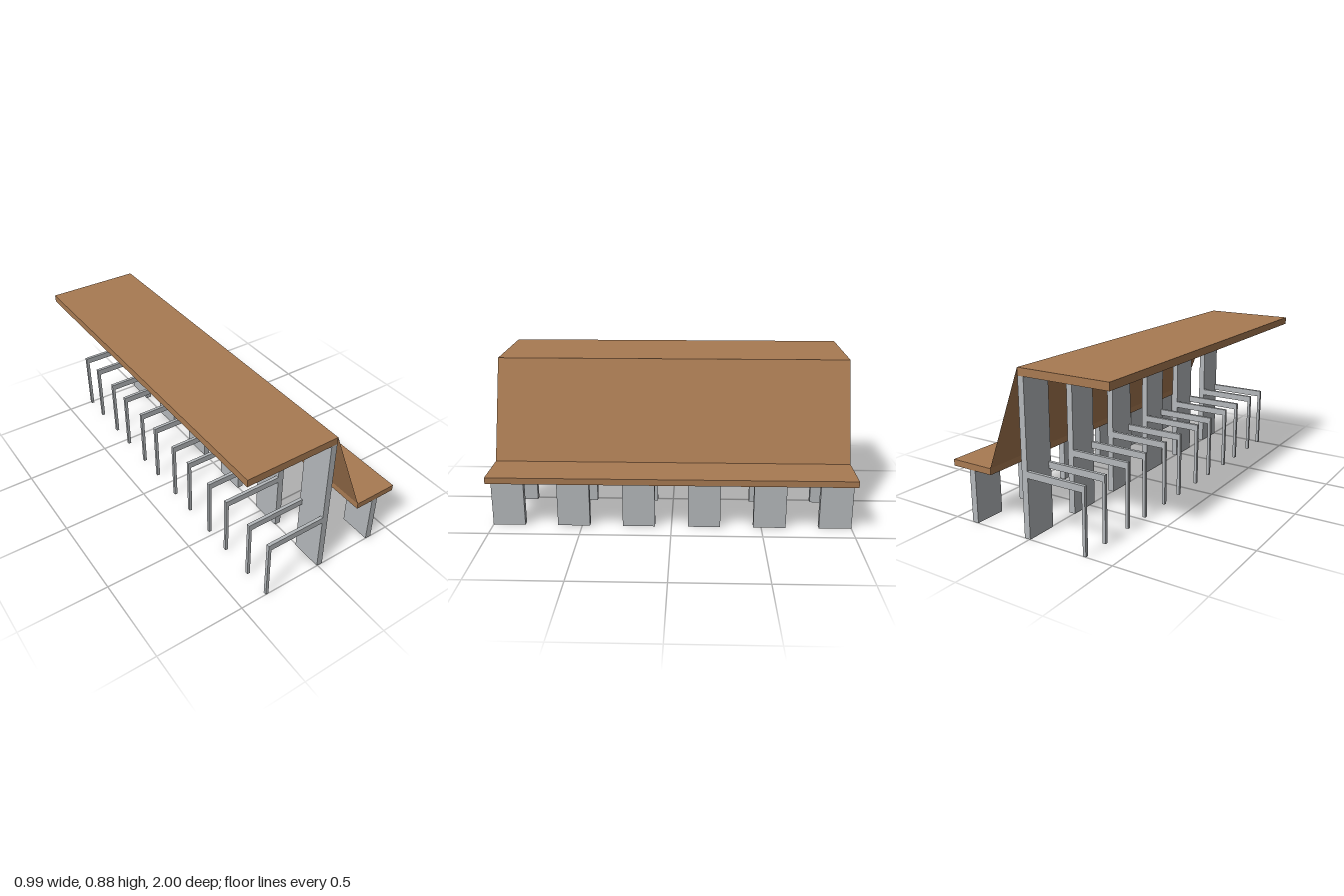
import * as THREE from 'three';

export function createModel() {
  const model = new THREE.Group();
  model.name = 'tableWithBench';
  const wood = new THREE.MeshStandardMaterial({ name: 'brown wood', color: 0xa87a52 });
  const sheet = new THREE.MeshStandardMaterial({ name: 'brown sheet', color: 0xa87a52, side: THREE.DoubleSide });
  const metal = new THREE.MeshStandardMaterial({ name: 'grey metal', color: 0xb4b8bb });

  // Box given by its limits on each axis
  function box(name, material, [x0, x1], [y0, y1], [z0, z1]) {
    const mesh = new THREE.Mesh(new THREE.BoxGeometry(x1 - x0, y1 - y0, z1 - z0), material);
    mesh.position.set((x0 + x1) / 2, (y0 + y1) / 2, (z0 + z1) / 2);
    mesh.name = name;
    model.add(mesh);
  }

  // Table top and bench seat run the full length
  box('tableTop', wood, [-0.495, 0.03], [0.835, 0.876], [-1, 1]);
  box('benchSeat', wood, [0.24, 0.495], [0.291, 0.326], [-1, 1]);

  // Sloping back sheet from the table edge down to the bench
  const top = new THREE.Vector2(0.03, 0.876), bottom = new THREE.Vector2(0.24, 0.326);
  const back = new THREE.Mesh(new THREE.PlaneGeometry(2, top.distanceTo(bottom)), sheet);
  back.geometry.rotateX(-Math.atan2(bottom.x - top.x, top.y - bottom.y));
  back.geometry.rotateY(Math.PI / 2);
  back.position.set((top.x + bottom.x) / 2, (top.y + bottom.y) / 2, 0);
  back.name = 'slopingBack';
  model.add(back);

  // Six rows of supports, each with a pair of side frames
  const width = 0.18, bar = 0.018;
  for (let i = 0; i < 6; i++) {
    const z0 = -1 + i * (2 - width) / 5, z1 = z0 + width;
    box('tablePost', metal, [-0.005, 0.03], [0, 0.835], [z0, z1]);
    box('benchLeg', metal, [0.348, 0.385], [0, 0.291], [z0, z1]);
    for (const z of [z0, z1 - bar]) {
      box('frameArm', metal, [-0.348, -0.005], [0.326, 0.362], [z, z + bar]);
      box('frameLeg', metal, [-0.348, -0.331], [0, 0.326], [z, z + bar]);
    }
  }
  return model;
}
